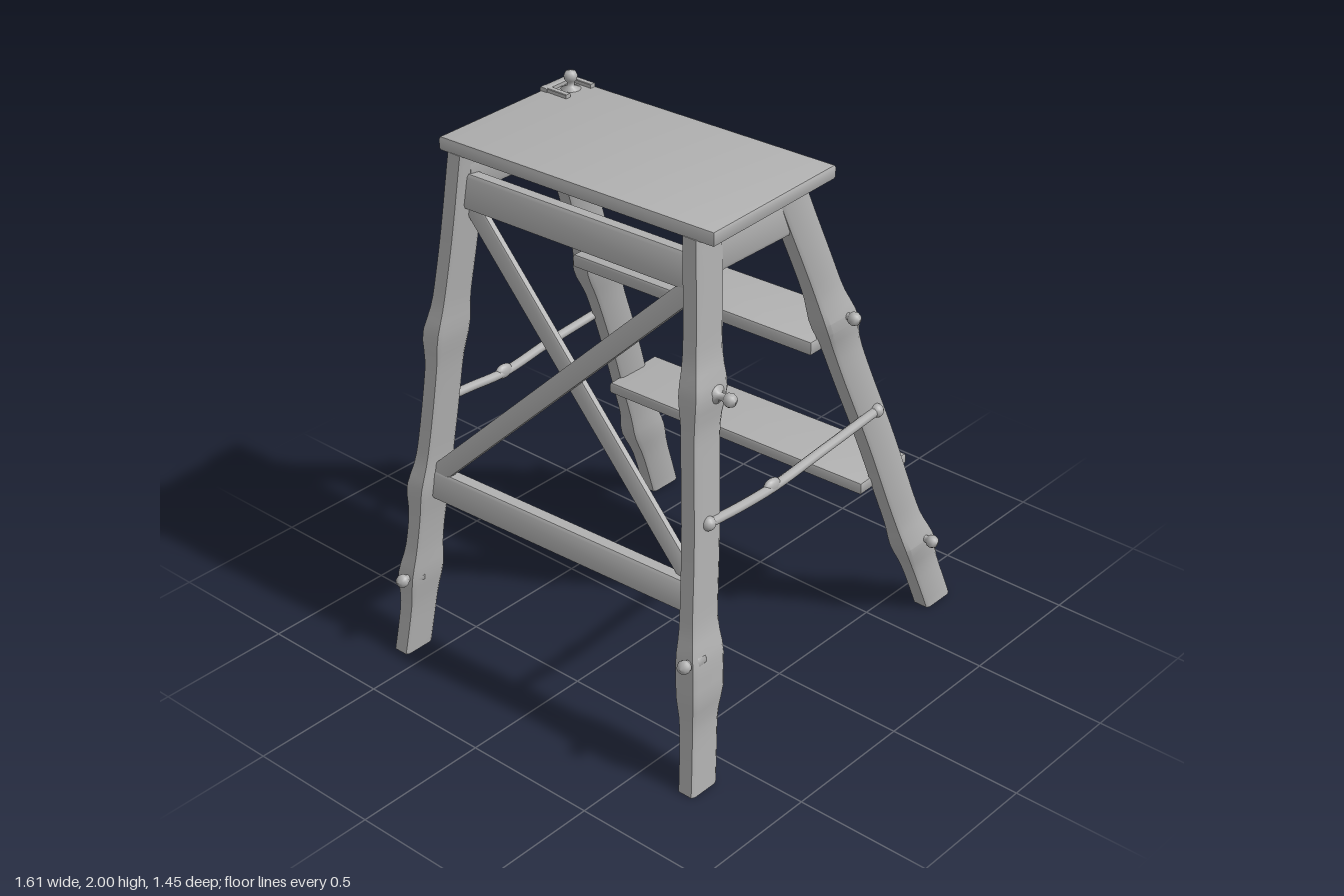
import * as THREE from 'three';
import { toCreasedNormals } from 'three/addons/utils/BufferGeometryUtils.js';

const V = (x, y, z) => new THREE.Vector3(x, y, z);

export function createModel() {
  const model = new THREE.Group();
  const wood = new THREE.MeshStandardMaterial({ color: 0xb0b0b0 });
  wood.name = 'grey wood';

  const add = (name, geometry, parent = model) => {
    const mesh = new THREE.Mesh(geometry, wood);
    mesh.name = name;
    parent.add(mesh);
    return mesh;
  };

  // Skin and cap a row of closed rings
  const loft = (rings) => {
    const n = rings[0].length, pos = [], idx = [];
    rings.forEach((r) => r.forEach((p) => pos.push(p.x, p.y, p.z)));
    for (let i = 0; i < rings.length - 1; i++) {
      for (let j = 0; j < n; j++) {
        const a = i * n + j, b = i * n + (j + 1) % n;
        idx.push(a, b, b + n, a, b + n, a + n);
      }
    }
    const last = (rings.length - 1) * n;
    for (let j = 1; j < n - 1; j++) {
      idx.push(0, j + 1, j, last, last + j, last + j + 1);
    }
    const g = new THREE.BufferGeometry();
    g.setAttribute('position', new THREE.Float32BufferAttribute(pos, 3));
    g.setIndex(idx);
    return toCreasedNormals(g, 0.6);
  };

  // Chamfered rectangle about c, spanned by the half vectors u and v
  const ring = (c, u, v, k = 0.8) =>
    [[1, -k], [1, k], [k, 1], [-k, 1], [-1, k], [-1, -k], [-k, -1], [k, -1]]
      .map(([a, b]) => c.clone().addScaledVector(u, a).addScaledVector(v, b));

  // Leg: level cross-sections from floor to top, swelling at each knot height
  const leg = (name, foot, top, hw, knots, out) => {
    const rings = [], steps = 48;
    for (let i = 0; i <= steps; i++) {
      const c = foot.clone().lerp(top, i / steps);
      const swell = knots.reduce((s, k) => s + Math.exp(-(((c.y - k) / 0.075) ** 2)), 0);
      c.z += out * 0.006 * swell;
      c.x += 0.003 * Math.sin(c.y * 9 + hw * 100);
      rings.push(ring(c, V(0, 0, 0.034 + 0.011 * swell), V(hw + 0.013 * swell, 0, 0)));
    }
    add(name, loft(rings));
  };

  // Straight beam between two points
  const beam = (name, a, b, width, depth, across) => {
    const dir = b.clone().sub(a).normalize();
    const u = across.clone().addScaledVector(dir, -across.dot(dir)).normalize();
    const v = dir.clone().cross(u);
    u.multiplyScalar(depth / 2);
    v.multiplyScalar(width / 2);
    add(name, loft([ring(a, u, v), ring(b, u, v)]));
  };

  // Board with four freely placed corners [x, z], counter-clockwise from above
  const board = (name, corners, y0, y1) => {
    const bevel = 0.01;
    const shape = new THREE.Shape(corners.map(([x, z]) => new THREE.Vector2(x, -z)));
    const g = new THREE.ExtrudeGeometry(shape, {
      depth: y1 - y0 - 2 * bevel, bevelThickness: bevel, bevelSize: bevel,
      bevelOffset: -bevel, bevelSegments: 2,
    });
    g.rotateX(-Math.PI / 2).translate(0, y0 + bevel, 0);
    add(name, toCreasedNormals(g, 0.6));
  };

  // Top and treads
  board('topBoard', [[-0.5, 0.605], [0.125, 0.575], [0.09, -0.545], [-0.545, -0.52]], 1.88, 1.932);
  board('upperTread', [[0.09, 0.525], [0.36, 0.52], [0.31, -0.515], [0.05, -0.505]], 1.238, 1.29);
  board('lowerTread', [[0.345, 0.565], [0.615, 0.555], [0.565, -0.585], [0.3, -0.57]], 0.598, 0.645);

  // Legs
  const legs = {
    left: { rear: [V(-0.662, 0, 0.692), V(-0.44, 1.885, 0.512)], step: [V(0.735, 0, 0.618), V(-0.045, 1.885, 0.515)] },
    right: { rear: [V(-0.722, 0, -0.592), V(-0.478, 1.885, -0.457)], step: [V(0.675, 0, -0.66), V(-0.075, 1.885, -0.457)] },
  };
  leg('leftRearLeg', ...legs.left.rear, 0.062, [0.48, 0.36, 1.38], 1);
  leg('leftStepLeg', ...legs.left.step, 0.068, [0.31, 1.36], 1);
  leg('rightRearLeg', ...legs.right.rear, 0.062, [0.31, 0.66, 1.24], -1);
  leg('rightStepLeg', ...legs.right.step, 0.068, [0.32, 1.17], -1);

  // Aprons joining each pair of legs under the top
  for (const [name, x0, x1, z] of [['leftApron', -0.47, -0.01, 0.513], ['rightApron', -0.5, -0.04, -0.457]]) {
    beam(name, V(x0, 1.812, z), V(x1, 1.812, z), 0.145, 0.062, V(0, 0, 1));
  }

  // Rails and cross brace between the rear legs
  const at = ([foot, top], y) => foot.clone().lerp(top, y / top.y);
  const { left: { rear: rl }, right: { rear: rr } } = legs;
  const out = V(-1, 0.12, 0);
  beam('upperRearRail', at(rl, 1.75), at(rr, 1.75), 0.12, 0.055, out);
  beam('lowerRearRail', at(rl, 0.67), at(rr, 0.67), 0.105, 0.06, out);
  const inset = (p, dx, dz) => p.add(V(dx, 0, dz));
  beam('crossBraceOne', inset(at(rl, 1.71), -0.012, -0.02), inset(at(rr, 0.7), -0.012, 0.03), 0.068, 0.026, out);
  beam('crossBraceTwo', inset(at(rr, 1.71), 0.012, 0.02), inset(at(rl, 0.7), 0.012, -0.03), 0.068, 0.026, out);

  // Round-headed peg standing out from p along dir
  const peg = (name, p, dir, length = 0.05) => {
    const profile = [[0, -0.03], [0.036, -0.03], [0.034, 0.004], [0.013, 0.012], [0.013, length - 0.016],
      [0.021, length - 0.008], [0.024, length + 0.006], [0.018, length + 0.02], [0, length + 0.027]];
    const g = new THREE.LatheGeometry(profile.map(([r, y]) => new THREE.Vector2(r, y)), 16);
    const mesh = add(name, g);
    mesh.position.copy(p);
    mesh.quaternion.setFromUnitVectors(V(0, 1, 0), dir.clone().normalize());
  };
  peg('leftRearPeg', V(-0.48, 1.37, 0.605), V(0, 0, 1));
  peg('leftRearFootPeg', V(-0.66, 0.49, 0.665), V(-1, 0, 0.1), 0.04);
  peg('leftStepPeg', V(0.195, 1.37, 0.575), V(0, 0, 1), 0.04);
  peg('leftStepFootPeg', V(0.63, 0.32, 0.63), V(0, 0, 1), 0.045);
  peg('rightRearPeg', V(-0.56, 1.24, -0.535), V(0, 0, -1), 0.035);
  peg('rightRearFootPeg', V(-0.735, 0.31, -0.565), V(-1, 0, 0), 0.04);
  peg('rightStepPeg', V(0.225, 1.16, -0.57), V(0, 0, -1), 0.045);
  peg('rightStepFootPeg', V(0.56, 0.32, -0.655), V(0, 0, -1), 0.045);
  peg('topPeg', V(0.02, 1.93, -0.47), V(0, 1, 0), 0.043);

  // Low bracket strips on the top board
  for (const x of [-0.045, 0.075]) {
    beam('topBracket', V(x, 1.936, -0.535), V(x, 1.936, -0.42), 0.022, 0.02, V(0, 1, 0));
  }
  beam('topBracketBar', V(-0.06, 1.936, -0.52), V(0.09, 1.936, -0.525), 0.03, 0.02, V(0, 1, 0));

  // Slim side stays with ball ends and a joint along the way
  const stay = (name, points, joint) => {
    const group = new THREE.Group();
    group.name = name;
    model.add(group);
    add('rod', new THREE.TubeGeometry(new THREE.CatmullRomCurve3(points), 32, 0.017, 10), group);
    for (const p of [points[0], points[points.length - 1]]) {
      const ball = add('end', new THREE.SphereGeometry(0.025, 16, 10), group);
      ball.position.copy(p);
    }
    const knuckle = add('joint', new THREE.SphereGeometry(0.03, 14, 10), group);
    knuckle.position.copy(joint);
    knuckle.scale.set(1.3, 0.9, 0.6);
  };
  stay('leftStay', [V(-0.55, 0.945, 0.635), V(-0.38, 0.93, 0.632), V(-0.2, 0.918, 0.622),
    V(0.05, 0.932, 0.615), V(0.36, 0.948, 0.605)], V(-0.22, 0.925, 0.622));
  stay('rightStay', [V(-0.595, 0.945, -0.56), V(-0.42, 0.932, -0.565), V(-0.25, 0.92, -0.566),
    V(0.0, 0.932, -0.585), V(0.32, 0.948, -0.595)], V(-0.25, 0.925, -0.566));

  return model;
}
